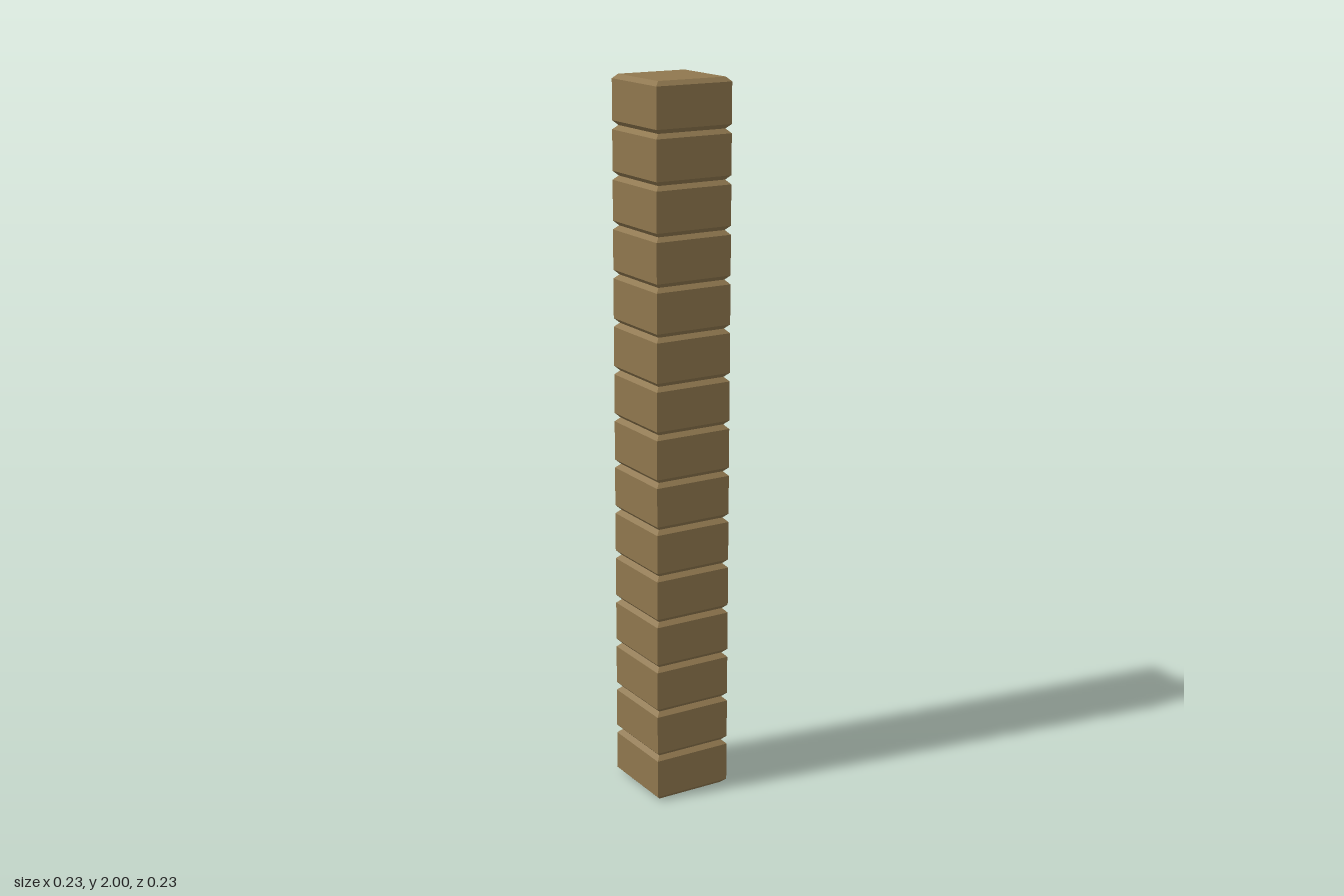
import * as THREE from 'three';

const COUNT = 15;
const PITCH = 2 / COUNT;
const HALF = 0.114;
const BEVEL = 0.012;

export function createModel() {
  const group = new THREE.Group();
  group.name = 'segmentedPost';
  const material = new THREE.MeshStandardMaterial({ color: 0x8f774e, flatShading: true });

  // Square block with bevelled top and bottom rims: a four-sided lathe
  const profile = [
    [0, 0],
    [HALF - BEVEL, 0],
    [HALF, BEVEL],
    [HALF, PITCH - BEVEL],
    [HALF - BEVEL, PITCH],
    [0, PITCH],
  ].map(([r, y]) => new THREE.Vector2(r * Math.SQRT2, y));
  const blockGeometry = new THREE.LatheGeometry(profile, 4, Math.PI / 4);

  // Blocks stacked into a post
  for (let i = 0; i < COUNT; i++) {
    const block = new THREE.Mesh(blockGeometry, material);
    block.name = `block${i + 1}`;
    block.position.y = i * PITCH;
    group.add(block);
  }
  return group;
}
